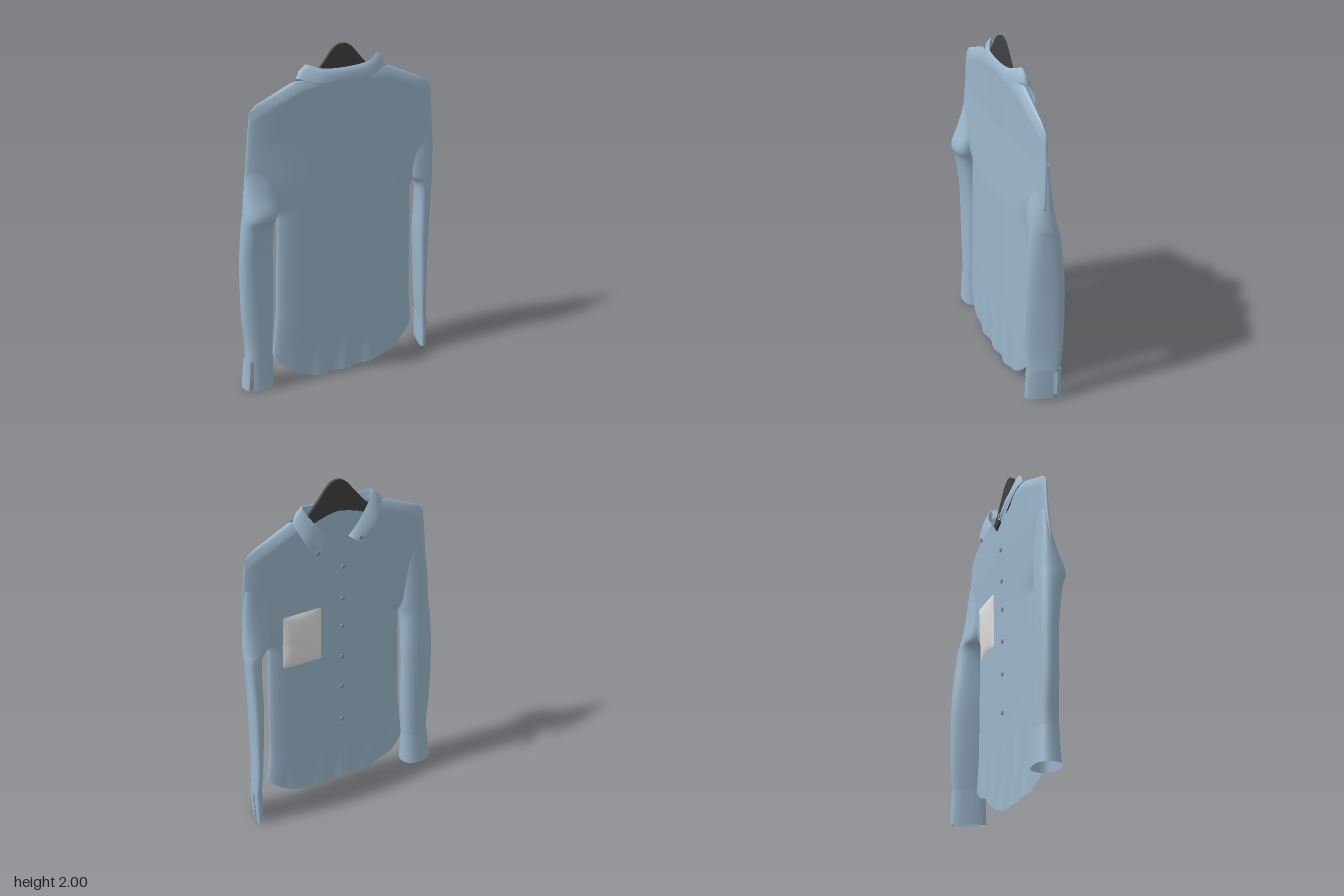
import * as THREE from 'three';

const V = (x, y, z) => new THREE.Vector3(x, y, z);
const clamp = THREE.MathUtils.clamp;

// Linear interpolation through [key, value] pairs in rising key order
function pick(table, k) {
  if (k <= table[0][0]) return table[0][1];
  for (let i = 1; i < table.length; i++) {
    const [a, va] = table[i - 1], [b, vb] = table[i];
    if (k <= b) return va + (vb - va) * (k - a) / (b - a);
  }
  return table[table.length - 1][1];
}

// Skin a surface over rows of points
function loft(rows, closed = false) {
  const n = rows[0].length, pos = [], idx = [];
  rows.forEach(r => r.forEach(p => pos.push(p.x, p.y, p.z)));
  for (let r = 0; r < rows.length - 1; r++) {
    for (let c = 0; c < (closed ? n : n - 1); c++) {
      const d = (c + 1) % n, a = r * n + c, b = r * n + d;
      idx.push(a, b, a + n, b, b + n, a + n);
    }
  }
  const g = new THREE.BufferGeometry();
  g.setAttribute('position', new THREE.Float32BufferAttribute(pos, 3));
  g.setIndex(idx);
  g.computeVertexNormals();
  return g;
}

// Torso outline: side edges by height (widening into the upper arms), shoulder and neck lines by x
const LEFT = [[0, -.43], [.2, -.445], [.5, -.415], [1.1, -.4], [1.25, -.588], [1.55, -.556], [1.7, -.54]];
const RIGHT = [[0, .46], [.2, .48], [.38, .46], [1.1, .45], [1.25, .608], [1.5, .594], [1.68, .58]];
const DEPTH = [[0, .045], [1.1, .045], [1.4, .039], [1.7, .034]];
const CENTRE = [[0, .014], [.4, .018], [1.1, .017], [1.5, 0], [1.75, 0]];
const SHOULDER = [[-.54, 1.7], [-.5, 1.735], [-.25, 1.84], [.02, 1.87], [.28, 1.84], [.52, 1.725], [.58, 1.68]];
const BACK_NECK = [[-.27, 1.832], [0, 1.82], [.29, 1.835]];
const FRONT_NECK = [[-.27, 1.832], [-.2, 1.82], [-.05, 1.7], [0, 1.59], [.12, 1.71], [.22, 1.82], [.29, 1.835]];

// Depth of the torso cloth; side is +1 for the plain panel, -1 for the buttoned one
function clothZ(x, y, side) {
  const l = pick(LEFT, y), r = pick(RIGHT, y);
  const t = clamp((x - (l + r) / 2) / ((r - l) / 2), -1, 1);
  const drop = clamp((pick(SHOULDER, x) - y) / .06, 0, 1);
  let half = pick(DEPTH, y) * Math.sqrt(1 - t ** 4) * Math.sqrt(drop);
  const neck = Math.max(0, 1 - ((x - .02) / .26) ** 2);
  if (y > 1.5) half = Math.max(half, .04 * Math.sqrt(neck));
  const fold = .009 * Math.max(0, 1 - y / .32) * Math.sin(x * 38 + side) * (1 - t * t);
  return pick(CENTRE, y) + side * half + fold;
}

function torso() {
  const rows = [];
  for (let j = 0; j <= 60; j++) {
    const v = 1 - (1 - j / 60) ** 1.5, row = [];
    for (let i = 0; i < 128; i++) {
      const a = i / 128 * Math.PI * 2, t = Math.cos(a), side = Math.sin(a) >= 0 ? 1 : -1;
      const x0 = .02 + t * .56;
      const hem = side > 0 ? .005 + .195 * t ** 4 : .075 + .125 * t ** 4;
      const inNeck = x0 > -.27 && x0 < .29;
      const top = inNeck ? pick(side > 0 ? BACK_NECK : FRONT_NECK, x0) : pick(SHOULDER, x0);
      const y = hem + (top - hem) * v, l = pick(LEFT, y), r = pick(RIGHT, y);
      const x = (l + r) / 2 + t * (r - l) / 2;
      row.push(V(x, y, clothZ(x, y, side)));
    }
    rows.push(row);
  }
  return loft(rows, true);
}

// Thin patch laid on the buttoned panel
function patch(x0, x1, yTop, yLow, lift, puff) {
  const rows = [];
  for (let j = 0; j <= 24; j++) {
    const row = [];
    for (let i = 0; i <= 12; i++) {
      const u = i / 12, v = j / 24, x = x0 + (x1 - x0) * u, y = yLow + (yTop - yLow) * v;
      const bulge = puff * Math.sqrt(Math.sin(Math.PI * u) * Math.sin(Math.PI * v) + 1e-6);
      row.push(V(x, y, clothZ(x, y, -1) - lift - bulge));
    }
    rows.push(row);
  }
  return loft(rows);
}

// Ring sections are [y, xMin, xMax, zMin, zMax]; skew slants each ring, gap leaves a slit in it
function tube(sections, skew = 0, gap = 0, slit = 0) {
  const closed = gap === 0, n = 32;
  const sq = c => Math.sign(c) * Math.abs(c) ** .85;
  return loft(sections.map(([y, x0, x1, z0, z1]) => {
    const row = [], rz = (z1 - z0) / 2, lean = skew * rz;
    const rx = Math.sqrt(((x1 - x0) / 2) ** 2 - lean ** 2);
    for (let i = 0; i < n; i++) {
      const a = slit + gap / 2 + (Math.PI * 2 - gap) * i / (closed ? n : n - 1);
      const c = sq(Math.cos(a)), s = sq(Math.sin(a));
      row.push(V((x0 + x1) / 2 + c * rx - s * lean, y, (z0 + z1) / 2 + s * rz));
    }
    return row;
  }), closed);
}

// Sections smoothed along the arm
function smoothSections(keys, steps) {
  const at = k => new THREE.CatmullRomCurve3(keys.map(s => V(s[0], s[k], s[k + 1])), false, 'catmullrom', .5);
  const wide = at(1), deep = at(3), out = [];
  for (let i = 0; i <= steps; i++) {
    const p = wide.getPoint(i / steps), q = deep.getPoint(i / steps);
    out.push([p.x, p.y, p.z, q.y, q.z]);
  }
  return out;
}

const RIGHT_ARM = [[1.5, -.545, -.45, -.024, .012], [1.36, -.572, -.42, -.034, .03], [1.23, -.59, -.406, -.045, .07],
  [1.12, -.602, -.408, -.052, .11], [1.03, -.61, -.425, -.056, .085], [.8, -.62, -.425, -.064, .055],
  [.5, -.618, -.43, -.068, .05], [.3, -.602, -.437, -.07, .05], [.2, -.602, -.442, -.07, .05]];
const LEFT_ARM = [[1.5, .46, .584, -.028, .015], [1.36, .445, .6, -.04, .03], [1.24, .44, .609, -.056, .052],
  [1.14, .452, .615, -.075, .065], [1.06, .5, .614, -.09, .068], [.75, .5, .608, -.12, .083],
  [.45, .512, .604, -.12, .088], [.3, .522, .605, -.112, .08], [.2, .53, .608, -.1, .075]];

// Folded collar: stand, fold line and pointed fall
const FOLD = [[-.02, 1.69, -.06], [-.11, 1.79, -.055], [-.2, 1.905, -.015], [-.12, 1.885, .03], [.03, 1.875, .04],
  [.17, 1.885, .03], [.24, 1.905, -.015], [.19, 1.82, -.055], [.12, 1.73, -.06]];
const FALL = [[-.08, 1.65, -.09], [-.19, 1.75, -.075], [-.255, 1.835, -.01], [-.15, 1.815, .05], [.03, 1.803, .058],
  [.19, 1.815, .05], [.29, 1.835, -.01], [.265, 1.74, -.075], [.19, 1.615, -.095]];
function collar() {
  const curve = k => new THREE.CatmullRomCurve3(k.map(p => V(...p)), false, 'centripetal');
  const N = 64, fold = curve(FOLD), fall = curve(FALL);
  const rows = [[], [], [], [], []];
  for (let i = 0; i <= N; i++) {
    const f = fold.getPoint(i / N), o = fall.getPoint(i / N);
    const out = V(f.x - .02, 0, f.z * 2).normalize().multiplyScalar(.014);
    rows[0].push(V(.02 + (f.x - .02) * .96, f.y - .065, f.z * .9));
    rows[1].push(V(.02 + (f.x - .02) * .96, f.y - .012, f.z * .9));
    rows[2].push(f);
    rows[3].push(f.clone().lerp(o, .4).add(out));
    rows[4].push(o);
  }
  return loft(rows);
}

// Flat bell-topped hanger with arms sloping inside the shoulders
function hanger() {
  const s = new THREE.Shape();
  s.moveTo(.01, 2);
  s.bezierCurveTo(.07, 2, .09, 1.94, .14, 1.89);
  s.bezierCurveTo(.19, 1.82, .27, 1.77, .36, 1.71);
  s.lineTo(.35, 1.67);
  s.quadraticCurveTo(.18, 1.8, .01, 1.82);
  s.quadraticCurveTo(-.16, 1.8, -.33, 1.67);
  s.lineTo(-.34, 1.71);
  s.bezierCurveTo(-.25, 1.77, -.17, 1.82, -.12, 1.89);
  s.bezierCurveTo(-.07, 1.94, -.05, 2, .01, 2);
  const g = new THREE.ExtrudeGeometry(s, { depth: .016, bevelEnabled: false, curveSegments: 16 });
  return g.translate(0, 0, .002);
}

export function createModel() {
  const group = new THREE.Group();
  const mat = (name, color, side) => {
    const m = new THREE.MeshStandardMaterial({ color, side });
    m.name = name;
    return m;
  };
  const cloth = mat('blueCloth', 0x9ab5ca, THREE.DoubleSide);
  const pale = mat('paleGrey', 0xdedede, THREE.DoubleSide);
  const dark = mat('darkHanger', 0x404040, THREE.FrontSide);
  const grey = mat('buttonGrey', 0x929497, THREE.FrontSide);
  const add = (name, geo, material) => {
    const m = new THREE.Mesh(geo, material);
    m.name = name;
    group.add(m);
    return m;
  };

  add('torso', torso(), cloth);
  add('collar', collar(), cloth);
  add('hanger', hanger(), dark);
  add('rightSleeve', tube(smoothSections(RIGHT_ARM, 50)), cloth);
  add('leftSleeve', tube(smoothSections(LEFT_ARM, 50), .3), cloth);
  // Slit, slightly flared cuffs
  add('rightCuff', tube([[.215, -.608, -.437, -.073, .053], [.12, -.615, -.437, -.08, .056],
    [.015, -.625, -.435, -.088, .06]], 0, .3, 2.3), cloth);
  add('leftCuff', tube([[.215, .526, .612, -.106, .08], [.12, .527, .611, -.108, .083],
    [.015, .529, .606, -.11, .086]], .3, .3, 5.7), cloth);

  // Button placket, pocket and buttons
  add('placket', patch(-.035, .035, 1.57, .08, .004, .002), cloth);
  add('pocket', patch(.14, .375, 1.285, .955, .004, .02), pale);
  const button = (x, y, z) => {
    const g = new THREE.CylinderGeometry(.013, .013, .008, 14).rotateX(Math.PI / 2);
    add('button', g, grey).position.set(x, y, z);
  };
  for (const y of [1.505, 1.305, 1.125, .925, .725, .495]) button(.004, y, clothZ(.004, y, -1) - .009);
  button(.19, 1.655, -.096);
  button(-.08, 1.68, -.092);
  return group;
}
